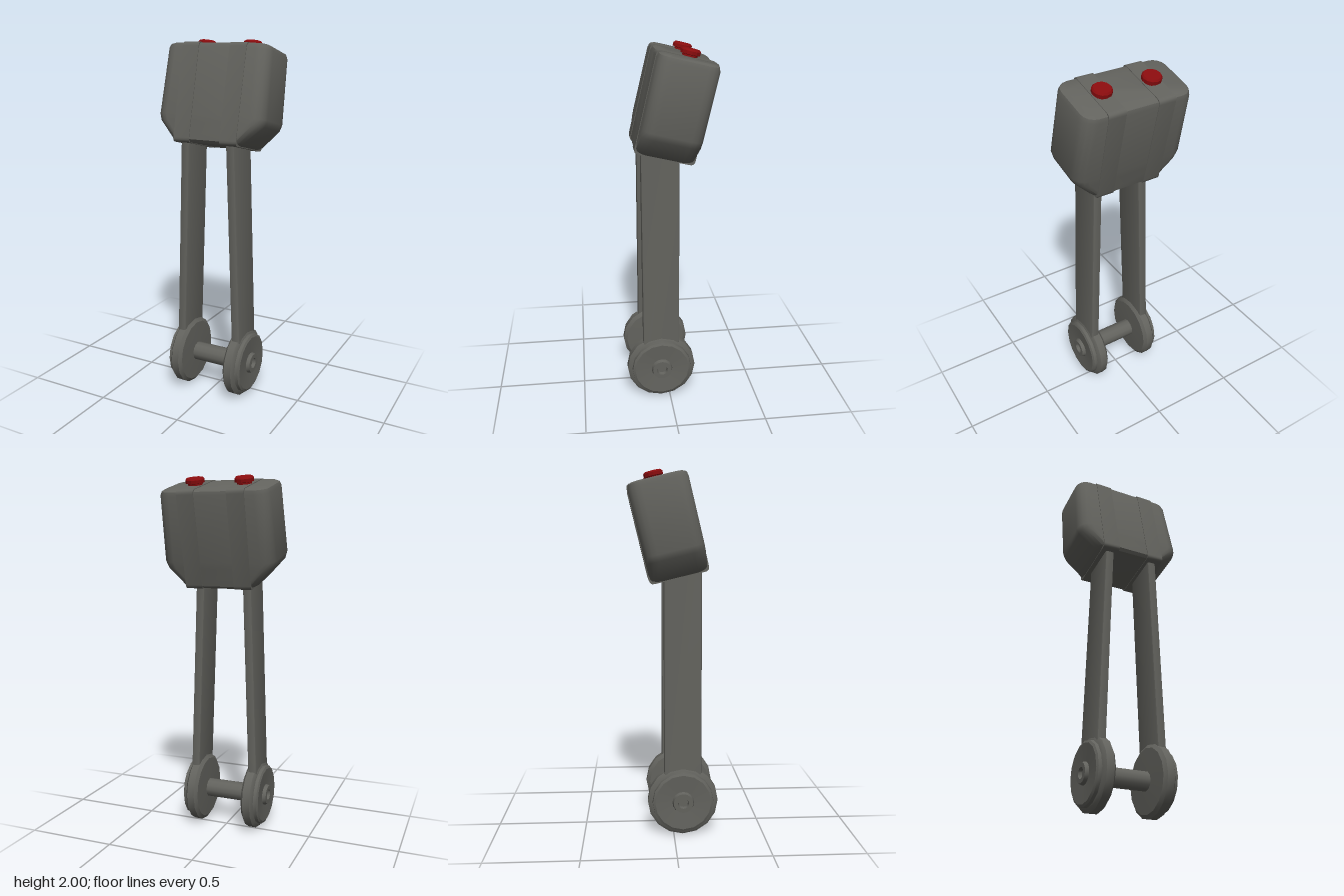
import * as THREE from 'three';
import { toCreasedNormals } from 'three/addons/utils/BufferGeometryUtils.js';

// Lofts rounded rectangles, listed bottom to top as [y, halfX, halfZ, cornerRadius, centreX]
function loft(sections, steps = 4) {
  const positions = [], index = [], n = 4 * (steps + 1);
  for (const [y, hx, hz, r, cx = 0] of sections) {
    for (let c = 0; c < 4; c++) {
      const sx = c === 0 || c === 3 ? 1 : -1, sz = c < 2 ? 1 : -1;
      for (let i = 0; i <= steps; i++) {
        const a = (c + i / steps) * Math.PI / 2;
        positions.push(cx + sx * (hx - r) + r * Math.cos(a), y, sz * (hz - r) + r * Math.sin(a));
      }
    }
  }
  for (let s = 0; s < sections.length - 1; s++) {
    for (let j = 0; j < n; j++) {
      const a = s * n + j, b = s * n + (j + 1) % n;
      index.push(a, a + n, b, b, a + n, b + n);
    }
  }
  const top = (sections.length - 1) * n;
  for (let j = 1; j < n - 1; j++) {
    index.push(0, j, j + 1, top, top + j + 1, top + j);
  }
  const geometry = new THREE.BufferGeometry();
  geometry.setAttribute('position', new THREE.Float32BufferAttribute(positions, 3));
  geometry.setIndex(index);
  return toCreasedNormals(geometry, 0.6);
}

function lathe(profile, segments) {
  const points = profile.map(([r, y]) => new THREE.Vector2(r, y));
  return toCreasedNormals(new THREE.LatheGeometry(points, segments), 0.5);
}

// Rounded strap loop seen from the side, extruded across x
function strapGeometry(depth, height, r, width) {
  const w = depth / 2, h = height / 2;
  const shape = new THREE.Shape();
  shape.moveTo(-w + r, -h).lineTo(w - r, -h).quadraticCurveTo(w, -h, w, -h + r);
  shape.lineTo(w, h - r).quadraticCurveTo(w, h, w - r, h);
  shape.lineTo(-w + r, h).quadraticCurveTo(-w, h, -w, h - r);
  shape.lineTo(-w, -h + r).quadraticCurveTo(-w, -h, -w + r, -h);
  const geometry = new THREE.ExtrudeGeometry(shape, { depth: width, bevelEnabled: false, curveSegments: 4 });
  geometry.translate(0, 0, -width / 2).rotateY(-Math.PI / 2);
  return toCreasedNormals(geometry, 0.6);
}

export function createModel() {
  const model = new THREE.Group();
  model.name = 'model';
  const grey = new THREE.MeshStandardMaterial({ name: 'warm grey', color: 0x62625d });
  const red = new THREE.MeshStandardMaterial({ name: 'dark red', color: 0x8a0c0e });

  const add = (parent, name, geometry, material) => {
    const mesh = new THREE.Mesh(geometry, material);
    mesh.name = name;
    parent.add(mesh);
    return mesh;
  };

  // Housing leans back, with tapered lower corners
  const head = new THREE.Group();
  head.name = 'head';
  head.position.set(0, 1.69, -0.03);
  head.rotation.x = -0.235;
  model.add(head);
  add(head, 'housing', loft([
    [-0.265, 0.185, 0.145, 0.05],
    [-0.25, 0.215, 0.16, 0.06],
    [-0.155, 0.308, 0.161, 0.07],
    [-0.12, 0.32, 0.161, 0.07],
    [0.235, 0.306, 0.161, 0.07],
    [0.256, 0.298, 0.154, 0.065],
    [0.265, 0.28, 0.138, 0.055],
  ]), grey);

  for (const side of [1, -1]) {
    const label = side > 0 ? 'left' : 'right';

    // Strap around the housing and the button on top of it
    add(head, label + 'Strap', strapGeometry(0.328, 0.536, 0.025, 0.097), grey).position.x = side * 0.14;
    const button = add(head, label + 'Button', lathe([
      [0, 0.25], [0.04, 0.25], [0.04, 0.277], [0.052, 0.28],
      [0.052, 0.297], [0.045, 0.306], [0, 0.306],
    ], 12), red);
    button.position.set(side * 0.14, 0, -0.01);

    // Flat leg spreading slightly toward the wheel
    const leg = add(model, label + 'Leg', loft([
      [0.2, 0.025, 0.103, 0.01, side * 0.18],
      [1.5, 0.025, 0.103, 0.01, side * 0.134],
    ], 2), grey);
    leg.position.z = 0.05;

    // Wheel with outer plate, shallow dish and hollow hub
    const wheel = add(model, label + 'Wheel', lathe([
      [0, 0.128], [0.05, 0.128], [0.175, 0.133], [0.195, 0.148],
      [0.195, 0.19], [0.178, 0.202], [0.17, 0.204], [0.168, 0.222],
      [0.155, 0.229], [0.06, 0.222], [0.054, 0.242], [0.03, 0.242],
      [0.026, 0.222], [0, 0.222],
    ], 16), grey);
    wheel.rotation.z = -side * Math.PI / 2;
    wheel.position.set(0, 0.195, 0.05);
  }

  // Axle joining the wheels
  const axle = add(model, 'axle', new THREE.CylinderGeometry(0.053, 0.053, 0.28, 12), grey);
  axle.rotation.z = Math.PI / 2;
  axle.position.set(0, 0.192, 0.05);

  return model;
}
